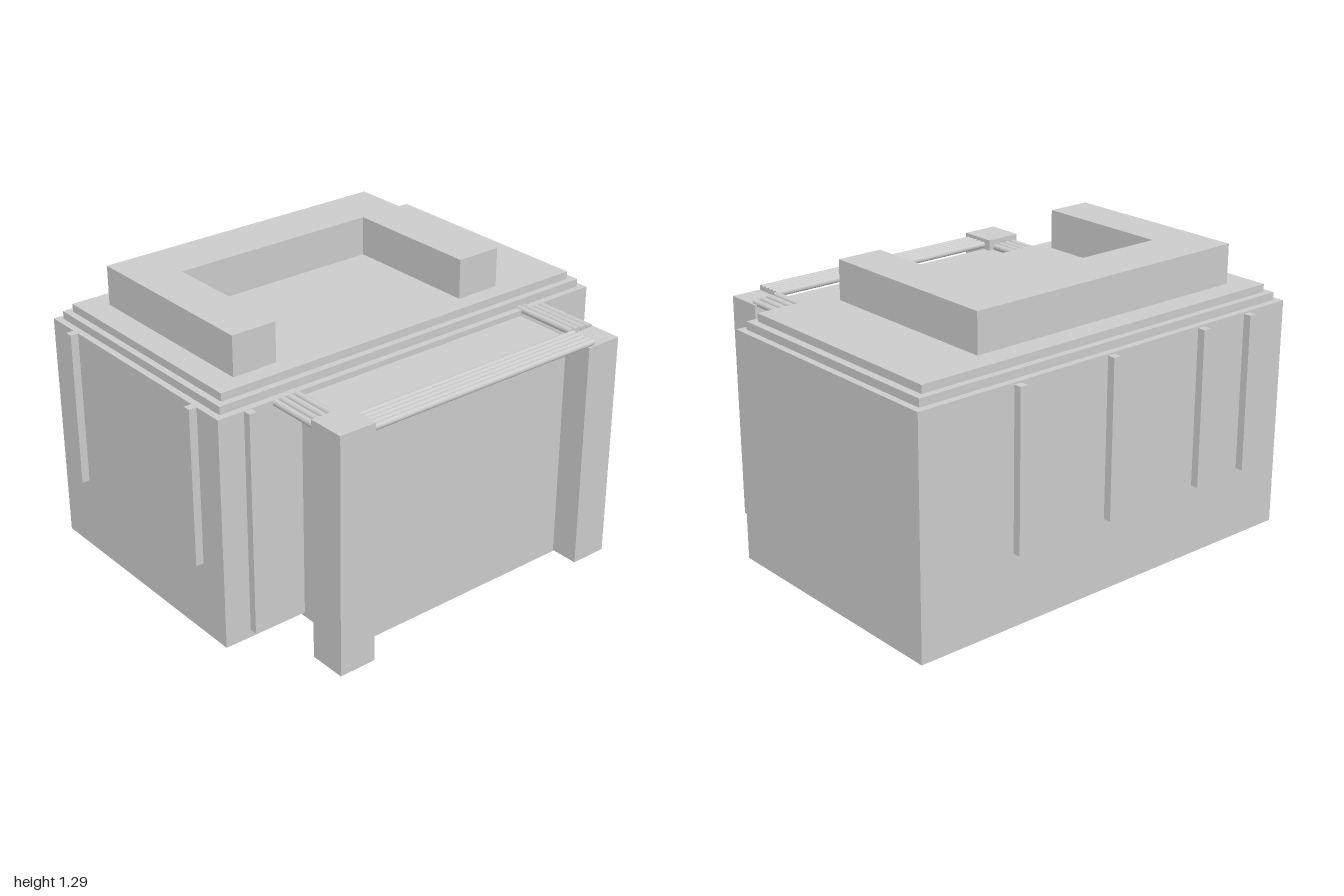
import * as THREE from 'three';

const mat = new THREE.MeshStandardMaterial({ color: 0xcccccc, side: THREE.DoubleSide });

export function createModel() {
  const model = new THREE.Group();

  const add = (name, geometry) => {
    const mesh = new THREE.Mesh(geometry, mat);
    mesh.name = name;
    model.add(mesh);
    return mesh;
  };

  // Box from its limits; omit lists faces left open (0 +x, 1 -x, 2 +y, 3 -y, 4 +z, 5 -z)
  const box = (name, [x0, x1], [y0, y1], [z0, z1], omit = []) => {
    const g = new THREE.BoxGeometry(x1 - x0, y1 - y0, z1 - z0);
    const index = Array.from(g.index.array);
    g.setIndex(index.filter((v, i) => !omit.includes(Math.floor(i / 6))));
    g.clearGroups();
    g.translate((x0 + x1) / 2, (y0 + y1) / 2, (z0 + z1) / 2);
    return add(name, g);
  };

  // Smooth horizontal rod between two points
  const rod = (name, a, b, r) => {
    const from = new THREE.Vector3(...a), to = new THREE.Vector3(...b);
    const dir = to.clone().sub(from);
    const mesh = add(name, new THREE.CylinderGeometry(r, r, dir.length(), 16));
    mesh.position.copy(from).add(to).multiplyScalar(0.5);
    mesh.quaternion.setFromUnitVectors(new THREE.Vector3(0, 1, 0), dir.normalize());
  };

  // Main block, open underneath, with two stepped roof slabs
  box('mainBlock', [-0.965, 1], [0.02, 1.045], [-0.78, 0.4], [3]);
  box('lowerRoofStep', [-0.935, 0.97], [1.045, 1.08], [-0.75, 0.37]);
  box('upperRoofStep', [-0.905, 0.935], [1.08, 1.115], [-0.72, 0.34]);

  // U-shaped parapet, open to the front
  const u = new THREE.Shape([
    [-0.79, -0.26], [-0.585, -0.26], [-0.585, 0.37], [0.375, 0.37],
    [0.375, -0.26], [0.585, -0.26], [0.585, 0.615], [-0.79, 0.615],
  ].map(([x, y]) => new THREE.Vector2(x, y)));
  const parapet = new THREE.ExtrudeGeometry(u, { depth: 0.175, bevelEnabled: false });
  parapet.rotateX(-Math.PI / 2).translate(0, 1.115, 0);
  add('roofParapet', parapet);

  // Front porch and its two corner pillars
  box('porch', [-0.57, 0.6], [0, 1.02], [-0.29, 0.69], [3, 5]);
  box('rightPillar', [-0.72, -0.55], [0.005, 1.07], [0.65, 0.82], [3]);
  box('leftPillar', [0.58, 0.75], [0.005, 1.03], [0.65, 0.82], [3]);

  // Rows of rods along the porch edges
  const r = 0.0145;
  for (let i = 0; i < 5; i++) {
    const z = 0.695 + i * 0.0265;
    rod('frontRod', [-0.55, 1.041, z], [0.615, 1.041, z], r);
  }
  for (let i = 0; i < 4; i++) {
    const s = i * 0.0355;
    rod('rightRod', [-0.695 + s, 1.032, 0.36], [-0.695 + s, 1.032, 0.65], r);
    rod('leftRod', [0.62 + s, 1.041 - i * 0.003, 0.36], [0.62 + s, 1.041 - i * 0.003, 0.68], r);
  }

  // Slim vertical bars around the walls
  const bar = (name, x, z, y0, y1) =>
    box(name, [x - 0.0175, x + 0.0175], [y0, y1], [z - 0.0175, z + 0.0175]);
  for (const x of [-0.72, -0.445, 0.06, 0.54]) bar('backBar', x, -0.8125, 0.35, 1.045);
  for (const z of [-0.605, 0.245]) bar('rightBar', -0.9825, z, 0.35, 1.045);
  bar('frontBar', -0.84, 0.435, 0.07, 1.055);

  return model;
}
